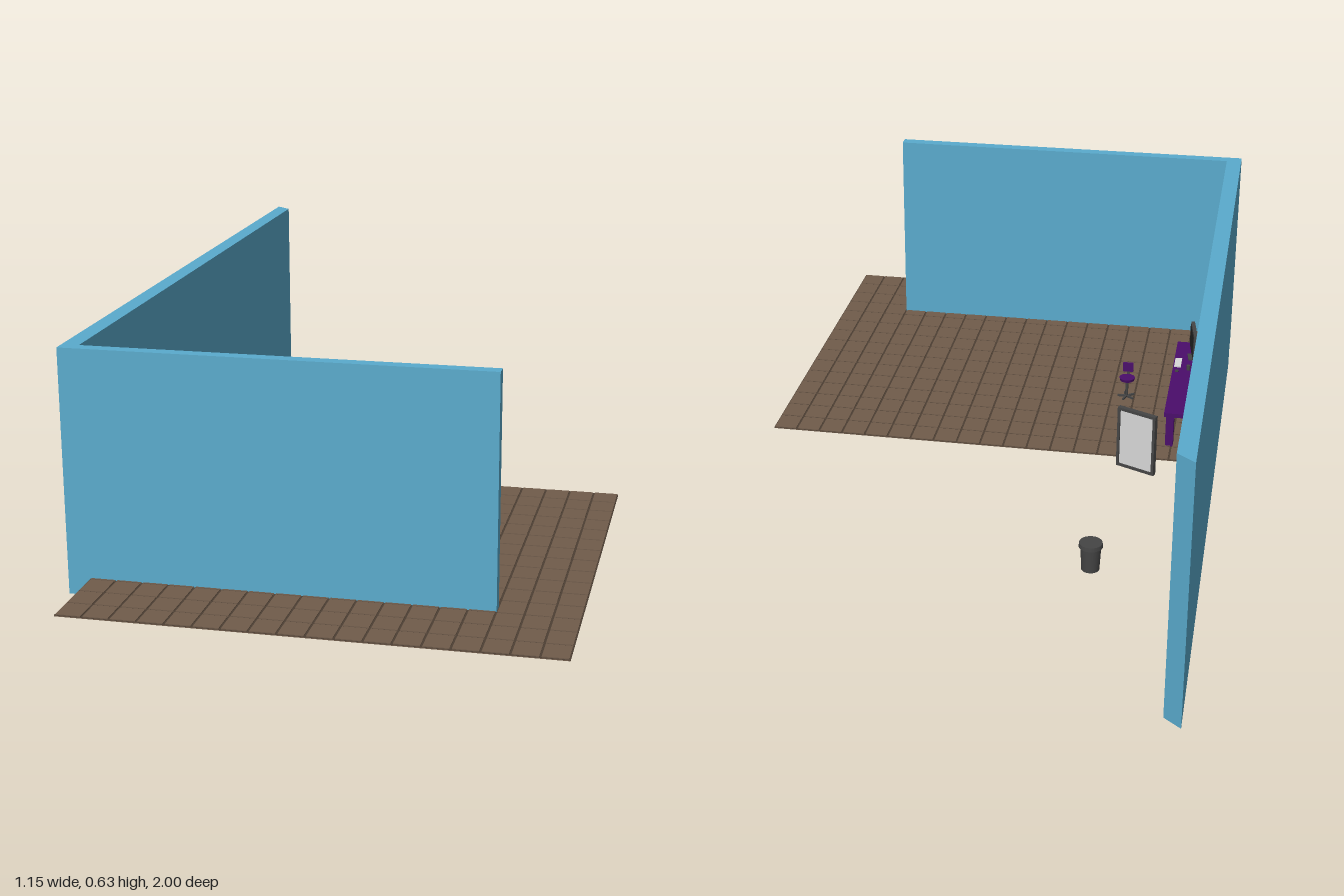
import * as THREE from 'three';
import { mergeGeometries } from 'three/addons/utils/BufferGeometryUtils.js';

function mat(name, color) {
  const m = new THREE.MeshStandardMaterial({ color });
  m.name = name;
  return m;
}

export function createModel() {
  const blue = mat('wallBlue', 0x5aabcd);
  const brown = mat('tileBrown', 0x705c4b);
  const grout = mat('groutBrown', 0x4e4034);
  const purple = mat('purple', 0x4a0d6b);
  const dark = mat('darkGrey', 0x454545);
  const black = mat('nearBlack', 0x262626);
  const white = mat('boardWhite', 0xd8d8d8);
  const model = new THREE.Group();

  const add = (parent, name, geometry, material, x = 0, y = 0, z = 0) => {
    const mesh = new THREE.Mesh(geometry, material);
    mesh.name = name;
    mesh.position.set(x, y, z);
    parent.add(mesh);
    return mesh;
  };
  // Box given by its lowest and highest corner
  const span = (parent, name, material, a, b) => add(parent, name,
    new THREE.BoxGeometry(b[0] - a[0], b[1] - a[1], b[2] - a[2]), material,
    (a[0] + b[0]) / 2, (a[1] + b[1]) / 2, (a[2] + b[2]) / 2);
  const group = (name, x = 0, y = 0, z = 0, turn = 0) => {
    const g = new THREE.Group();
    g.name = name;
    g.position.set(x, y, z);
    g.rotation.y = turn;
    model.add(g);
    return g;
  };
  const cyl = (rTop, rBottom, h, sides = 16) => new THREE.CylinderGeometry(rTop, rBottom, h, sides);

  // Walls: plan outlines (x, z) raised between two heights
  const walls = group('walls');
  const prism = (name, plan, y0, y1) => {
    const shape = new THREE.Shape(plan.map(([x, z]) => new THREE.Vector2(x, -z)));
    const g = new THREE.ExtrudeGeometry(shape, { depth: y1 - y0, bevelEnabled: false });
    g.rotateX(-Math.PI / 2);
    add(walls, name, g, blue, 0, y0, 0);
  };
  prism('upperWalls', [[-0.577, 0.787], [0.392, 0.787], [0.392, 0.757], [-0.537, 0.757],
    [-0.537, -0.968], [-0.577, -1]], 0.065, 0.635);
  prism('lowerSideWall', [[-0.577, -0.04], [-0.537, -0.04], [-0.537, -0.968], [-0.577, -1]], 0, 0.065);
  prism('wallBase', [[-0.577, 0.76], [0.375, 0.76], [0.375, 0.73], [-0.543, 0.73],
    [-0.543, -0.04], [-0.577, -0.04]], 0, 0.065);

  // Tiled floor
  const floor = group('floor');
  span(floor, 'floorSlab', brown, [-0.525, 0.102, -0.036], [0.575, 0.104, 1]);
  span(floor, 'floorGrout', grout, [-0.525, 0.104, -0.036], [0.575, 0.1045, 1]);
  const cols = 18, rows = 15, gap = 0.005;
  const tw = 1.1 / cols, td = 1.036 / rows;
  const tiles = [];
  for (let i = 0; i < cols; i++) {
    for (let j = 0; j < rows; j++) {
      const t = new THREE.BoxGeometry(tw - gap, 0.002, td - gap);
      t.translate(-0.525 + (i + 0.5) * tw, 0.1055, -0.036 + (j + 0.5) * td);
      tiles.push(t);
    }
  }
  add(floor, 'floorTiles', mergeGeometries(tiles), brown);

  // Desk with four legs and a rail
  const desk = group('desk');
  span(desk, 'deskTop', purple, [-0.535, 0.194, 0.027], [-0.443, 0.205, 0.463]);
  for (const x of [-0.53, -0.468]) {
    for (const z of [0.038, 0.434]) span(desk, 'deskLeg', purple, [x, 0.09, z], [x + 0.02, 0.194, z + 0.025]);
  }
  span(desk, 'deskRail', purple, [-0.524, 0.117, 0.06], [-0.514, 0.128, 0.436]);

  // Monitor, keyboard and small things on the desk
  const monitor = group('monitor', -0.492, 0.205, 0.368, 0.15);
  add(monitor, 'monitorCase', new THREE.BoxGeometry(0.01, 0.07, 0.096), dark, 0, 0.05, 0);
  add(monitor, 'monitorScreen', new THREE.BoxGeometry(0.002, 0.06, 0.086), black, 0.0055, 0.05, 0);
  add(monitor, 'monitorNeck', new THREE.BoxGeometry(0.008, 0.02, 0.012), dark, -0.002, 0.01, 0);
  add(monitor, 'monitorFoot', new THREE.BoxGeometry(0.028, 0.003, 0.04), dark, 0, 0.0015, 0);
  const clutter = group('deskItems', 0, 0.205, 0);
  add(clutter, 'keyboard', new THREE.BoxGeometry(0.018, 0.004, 0.05), white, -0.455, 0.002, 0.325);
  add(clutter, 'mouse', new THREE.BoxGeometry(0.009, 0.004, 0.007), dark, -0.455, 0.002, 0.275);
  add(clutter, 'penPot', cyl(0.005, 0.005, 0.013), dark, -0.485, 0.0065, 0.29);

  // Round wall clock
  const clock = group('clock', -0.533, 0.304, 0.262);
  const disc = (name, r, depth, material, x) => {
    add(clock, name, cyl(r, r, depth, 24).rotateZ(Math.PI / 2), material, x, 0, 0);
  };
  disc('clockCase', 0.024, 0.008, black, 0);
  disc('clockFace', 0.019, 0.002, dark, 0.005);
  disc('clockHub', 0.006, 0.002, white, 0.007);

  // Desk chair with a five-armed foot
  const chair = group('chair', -0.322, 0, 0.288);
  add(chair, 'chairSeat', cyl(0.021, 0.019, 0.008), purple, 0, 0.166, 0);
  add(chair, 'chairBack', new THREE.BoxGeometry(0.028, 0.025, 0.006), purple, 0, 0.19, 0.022);
  add(chair, 'chairBackBar', new THREE.BoxGeometry(0.006, 0.025, 0.003), dark, 0, 0.173, 0.024);
  add(chair, 'chairPost', cyl(0.004, 0.004, 0.045, 8), dark, 0, 0.14, 0);
  for (let i = 0; i < 5; i++) {
    const arm = new THREE.BoxGeometry(0.024, 0.005, 0.005);
    arm.translate(0.012, 0, 0);
    add(chair, 'chairFoot', arm, dark, 0, 0.114, 0).rotation.y = i * Math.PI * 0.4;
  }

  // Framed board, white on both faces
  const board = group('board', -0.395, 0.246, -0.209, -0.415);
  add(board, 'boardPanel', new THREE.BoxGeometry(0.092, 0.148, 0.006), white);
  for (const s of [-1, 1]) {
    add(board, 'boardSide', new THREE.BoxGeometry(0.007, 0.16, 0.012), dark, s * 0.0485, 0, 0);
    add(board, 'boardEdge', new THREE.BoxGeometry(0.104, 0.007, 0.012), dark, 0, s * 0.0765, 0);
  }

  // Bin with lid, rim and pedal
  const bin = group('bin', -0.332, 0, -0.588);
  add(bin, 'binBody', cyl(0.024, 0.021, 0.06, 20), dark, 0, 0.14, 0);
  add(bin, 'binLid', cyl(0.027, 0.028, 0.01, 20), dark, 0, 0.175, 0);
  add(bin, 'binPedal', new THREE.BoxGeometry(0.008, 0.004, 0.016), black, 0, 0.114, 0.03);

  return model;
}
